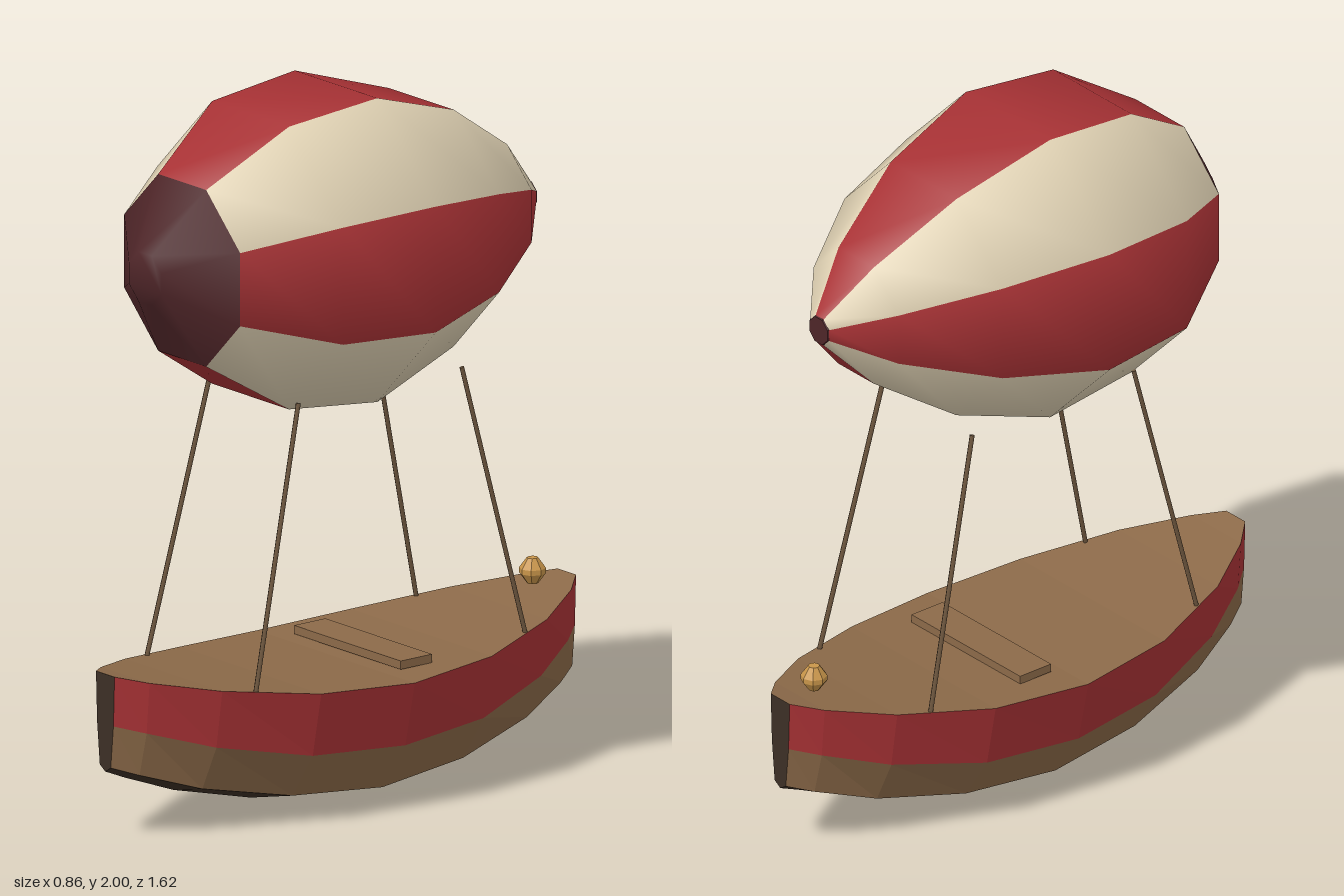
import * as THREE from 'three';

const mat = (name, color) => {
  const m = new THREE.MeshStandardMaterial({ color });
  m.name = name;
  return m;
};

// Skins closed rings (listed back to front, counter-clockwise seen from the front).
// panels[k] is the material index of the strip between ring points k and k + 1.
function loft(rings, panels, { smooth = false, backCap = -1, frontCap = -1 } = {}) {
  const n = rings[0].length;
  const position = rings.flat(2);
  const index = [];
  let geo = new THREE.BufferGeometry();
  const group = (start, material) => geo.addGroup(start, index.length - start, material);
  for (let k = 0; k < n; k++) {
    const start = index.length, k2 = (k + 1) % n;
    for (let i = 0; i < rings.length - 1; i++) {
      const a = i * n + k, b = i * n + k2, c = b + n, d = a + n;
      index.push(a, b, c, a, c, d);
    }
    group(start, panels[k]);
  }
  const cap = (row, flip, material) => {
    if (material < 0) return;
    const start = index.length, o = row * n;
    for (let k = 1; k < n - 1; k++) {
      if (flip) index.push(o, o + k + 1, o + k);
      else index.push(o, o + k, o + k + 1);
    }
    group(start, material);
  };
  cap(0, true, backCap);
  cap(rings.length - 1, false, frontCap);
  geo.setAttribute('position', new THREE.Float32BufferAttribute(position, 3));
  geo.setIndex(index);
  if (!smooth) geo = geo.toNonIndexed();
  geo.computeVertexNormals();
  return geo;
}

export function createModel() {
  const model = new THREE.Group();
  model.name = 'airship';

  const red = mat('red', 0xa83235);
  const cream = mat('cream', 0xded0b2);
  const maroon = mat('dark maroon', 0x4e2528);
  const wood = mat('wood', 0x8c6a49);
  const darkWood = mat('dark wood', 0x3c2f25);
  const rope = mat('rope brown', 0x6e573f);
  const brass = mat('brass', 0xc8954a);

  const add = (name, geometry, material, parent = model) => {
    const mesh = new THREE.Mesh(geometry, material);
    mesh.name = name;
    parent.add(mesh);
    return mesh;
  };

  // Envelope: octagonal rings with flat top, bottom and sides
  const octagon = ([z, apothem]) => Array.from({ length: 8 }, (_, k) => {
    const a = (k - 0.5) * Math.PI / 4, r = apothem / Math.cos(Math.PI / 8);
    return [r * Math.cos(a), 1.57 + r * Math.sin(a), z];
  });
  const envelopeRings = [
    [-0.67, 0.04], [-0.54, 0.18], [-0.3, 0.335], [0, 0.43], [0.3, 0.4], [0.54, 0.25],
  ].map(octagon);
  add('envelope', loft(envelopeRings, [0, 1, 0, 1, 0, 1, 0, 1], { smooth: true }), [red, cream]);

  // Nose cone and tail cap
  const plain = Array(8).fill(0);
  add('noseCap', loft([[0.54, 0.25], [0.67, 0.07]].map(octagon), plain,
    { smooth: true, frontCap: 0 }), [maroon]);
  add('tailCap', loft([[-0.674, 0.038], [-0.669, 0.04]].map(octagon), plain,
    { backCap: 0 }), [maroon]);

  // Hull sections: z, half width, then heights of deck, stripe edge, chine and keel
  const half = [
    [0, 0.34, 0.38, 0.195, 0.055, 0.005],
    [0.3, 0.305, 0.395, 0.212, 0.08, 0.035],
    [0.57, 0.21, 0.43, 0.265, 0.135, 0.105],
    [0.74, 0.105, 0.46, 0.315, 0.19, 0.17],
    [0.81, 0.04, 0.476, 0.335, 0.215, 0.2],
  ];
  const back = half.slice(1).reverse().map(([z, ...rest]) => [-z, ...rest]);
  const hullRings = [...back, ...half].map(([z, w, deck, stripe, chine, keel]) => [
    [0, keel, z], [0.59 * w, chine, z], [0.88 * w, stripe, z], [w, deck, z],
    [-w, deck, z], [-0.88 * w, stripe, z], [-0.59 * w, chine, z],
  ]);
  add('hull', loft(hullRings, [0, 1, 2, 1, 2, 1, 0], { backCap: 0, frontCap: 0 }),
    [darkWood, wood, red]);

  // Bench across the deck
  add('bench', new THREE.BoxGeometry(0.46, 0.024, 0.11), wood).position.set(0, 0.399, -0.095);

  // Four ropes leaning inward from the gunwales to the envelope
  const ropes = new THREE.Group();
  ropes.name = 'ropes';
  model.add(ropes);
  for (const sx of [-1, 1]) {
    for (const sz of [-1, 1]) {
      const foot = new THREE.Vector3(sx * 0.235, 0.415, sz * 0.473);
      const top = new THREE.Vector3(sx * 0.19, 1.19, sz * 0.287);
      const dir = top.clone().sub(foot);
      const mesh = add('rope', new THREE.CylinderGeometry(0.007, 0.007, dir.length(), 6), rope, ropes);
      mesh.position.copy(foot).add(top).multiplyScalar(0.5);
      mesh.quaternion.setFromUnitVectors(new THREE.Vector3(0, 1, 0), dir.normalize());
    }
  }

  // Faceted stern lantern
  const profile = [[0, -0.036], [0.016, -0.036], [0.037, -0.007], [0.037, 0.007], [0.016, 0.036], [0, 0.036]]
    .map(([x, y]) => new THREE.Vector2(x, y));
  const lantern = new THREE.LatheGeometry(profile, 8).toNonIndexed();
  lantern.computeVertexNormals();
  add('lantern', lantern, brass).position.set(0, 0.502, -0.69);

  return model;
}
